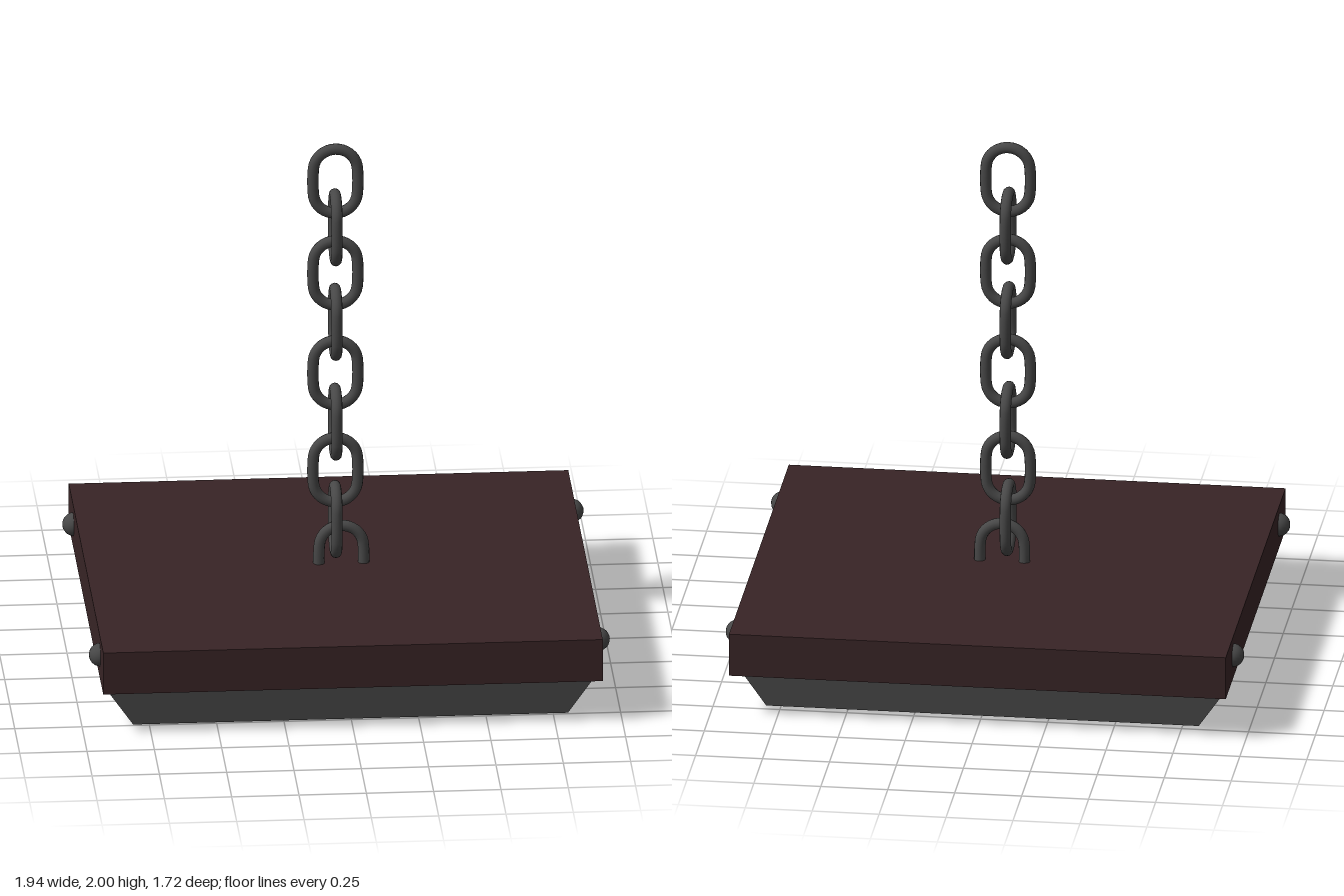
import * as THREE from 'three';

const TUBE = 0.021;

// Closed oval centreline: two half circles joined by straight sides
function linkGeometry() {
  const points = [], bend = 0.082, half = 0.045, steps = 8;
  for (const side of [1, -1]) {
    for (let i = 0; i <= steps; i++) {
      const a = (i / steps) * Math.PI;
      points.push(new THREE.Vector3(side * bend * Math.cos(a), side * (half + bend * Math.sin(a)), 0));
    }
  }
  const curve = new THREE.CatmullRomCurve3(points, true);
  return new THREE.TubeGeometry(curve, 48, TUBE, 12, true);
}

// Runner beam whose underside is shorter and a little narrower than its top
function runnerGeometry() {
  const geo = new THREE.BoxGeometry(1.85, 0.17, 0.15);
  const pos = geo.attributes.position;
  for (let i = 0; i < pos.count; i++) {
    if (pos.getY(i) < 0) {
      pos.setX(i, pos.getX(i) * 0.873);
      pos.setZ(i, pos.getZ(i) * 0.87);
    }
  }
  geo.computeVertexNormals();
  return geo;
}

export function createModel() {
  const model = new THREE.Group();
  model.name = 'hangingPlatform';
  const wood = new THREE.MeshStandardMaterial({ name: 'darkWood', color: 0x382426 });
  const iron = new THREE.MeshStandardMaterial({ name: 'darkIron', color: 0x484848 });

  const add = (name, geo, mat, x, y, z, parent = model) => {
    const mesh = new THREE.Mesh(geo, mat);
    mesh.name = name;
    mesh.position.set(x, y, z);
    parent.add(mesh);
    return mesh;
  };

  // Square slab
  add('slab', new THREE.BoxGeometry(1.855, 0.165, 1.724), wood, -0.002, 0.2525, 0);

  // Two runners under the slab
  const runner = runnerGeometry();
  add('frontRunner', runner, iron, -0.002, 0.085, 0.675);
  add('backRunner', runner, iron, -0.002, 0.085, -0.65);

  // Round bolt heads on the left and right edges
  const bolt = new THREE.SphereGeometry(0.044, 20, 14);
  for (const [name, x, z] of [
    ['frontLeftBolt', 0.922, 0.665], ['backLeftBolt', 0.922, -0.642],
    ['frontRightBolt', -0.926, 0.685], ['backRightBolt', -0.926, -0.642],
  ]) add(name, bolt, iron, x, 0.26, z);

  // Chain of links, each turned a quarter from the last
  const chain = new THREE.Group();
  chain.name = 'chain';
  model.add(chain);
  const link = linkGeometry();
  const tops = [2, 1.816, 1.635, 1.44, 1.238, 1.043, 0.852, 0.656];
  tops.forEach((top, i) => {
    const mesh = add('chainLink', link, iron, -0.004, top - 0.148, 0.008, chain);
    mesh.rotation.y = i % 2 ? Math.PI / 2 : 0;
  });

  // Last link, sunk halfway into the slab
  add('anchorLink', link, iron, 0.018, 0.355, 0.008, chain);
  return model;
}
